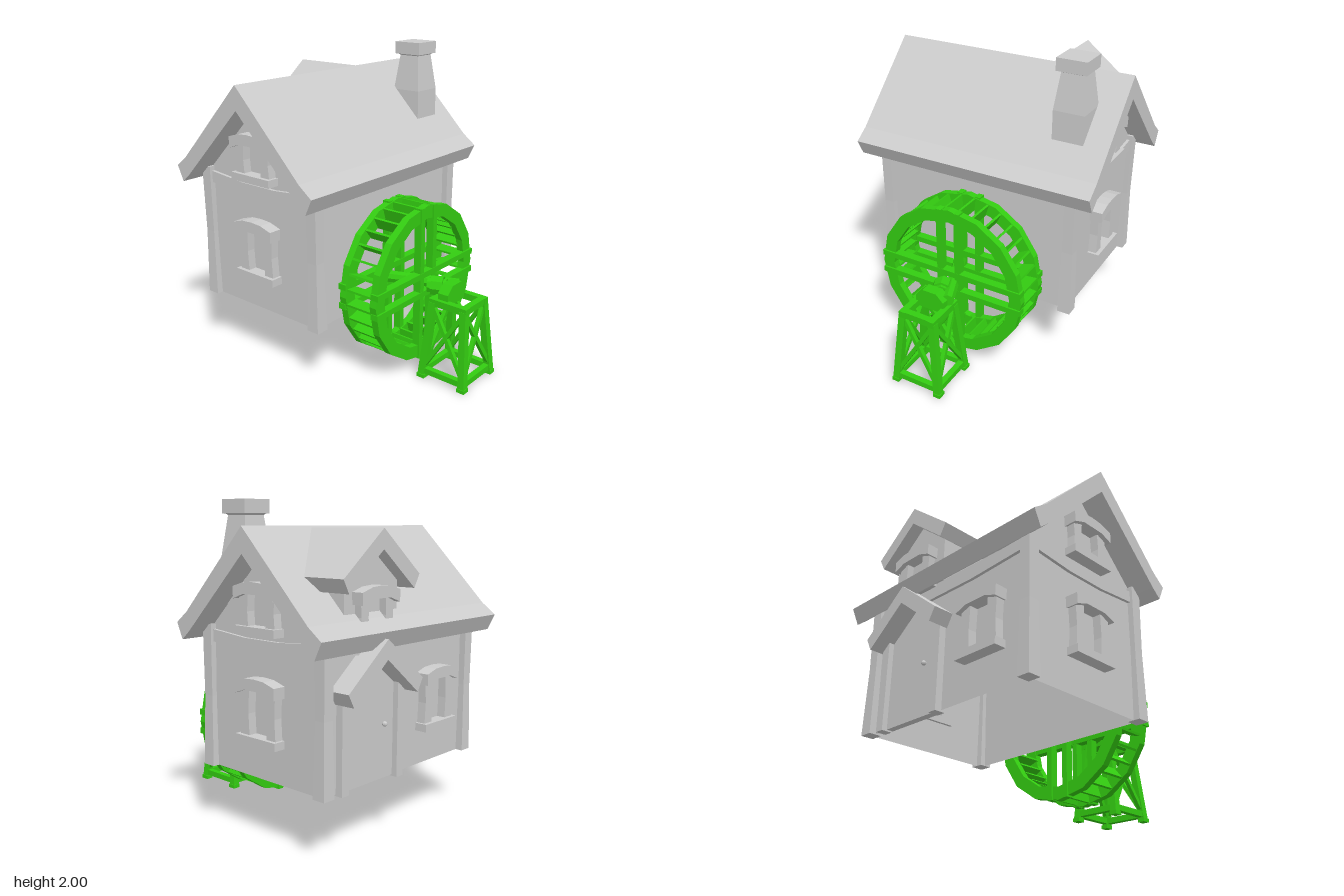
import * as THREE from 'three';

const grey = new THREE.MeshStandardMaterial({ color: 0xcccccc, flatShading: true, side: THREE.DoubleSide });
const green = new THREE.MeshStandardMaterial({ color: 0x33cc11, flatShading: true });

function add(parent, name, geo, mat, x = 0, y = 0, z = 0) {
  const m = new THREE.Mesh(geo, mat);
  m.name = name;
  m.position.set(x, y, z);
  parent.add(m);
  return m;
}
const box = (p, name, mat, w, h, d, x, y, z) => add(p, name, new THREE.BoxGeometry(w, h, d), mat, x, y, z);
const shape = pts => new THREE.Shape(pts.map(p => new THREE.Vector2(...p)));
// Extrusion of an outline from z0 to z1
const slab = (pts, z0, z1) =>
  new THREE.ExtrudeGeometry(shape(pts), { depth: z1 - z0, bevelEnabled: false }).translate(0, 0, z0);

// Square bar between two points
function bar(p, name, a, b, t, d = t) {
  const A = new THREE.Vector3(...a), B = new THREE.Vector3(...b);
  const m = box(p, name, green, t, A.distanceTo(B), d, 0, 0, 0);
  m.position.copy(A).add(B).multiplyScalar(0.5);
  m.quaternion.setFromUnitVectors(new THREE.Vector3(0, 1, 0), B.sub(A).normalize());
  return m;
}

// Mirrored roof section: right half given from outer ridge round to inner ridge
function roofOutline(half) {
  const mirrored = half.slice(1, -1).reverse().map(([x, y]) => [-x, y]);
  return [...half, ...mirrored];
}

// Window facing +z, origin at the middle of the sill's underside
function makeWindow(height) {
  const g = new THREE.Group();
  g.name = 'window';
  const a = height - 0.1;
  box(g, 'windowSill', grey, 0.325, 0.048, 0.1, 0, 0.024, 0.03);
  for (const s of [-1, 1]) {
    const jamb = slab([[s * 0.145, 0.04], [s * 0.07, 0.04], [s * 0.077, (a + 0.06) / 2],
      [s * 0.07, a + 0.04], [s * 0.145, a + 0.04], [s * 0.137, (a + 0.06) / 2]], -0.02, 0.055);
    add(g, 'windowJamb', jamb, grey);
  }
  add(g, 'windowArch', slab([[-0.162, a], [-0.08, a + 0.03], [0.08, a + 0.03], [0.162, a],
    [0.165, a + 0.07], [0.08, a + 0.095], [0, a + 0.1], [-0.08, a + 0.095], [-0.165, a + 0.07]], -0.02, 0.085), grey);
  return g;
}

function makeHouse() {
  const house = new THREE.Group();
  house.name = 'house';
  house.position.x = -0.31;
  const W = 0.455, D = 0.67, base = 0.39, top = 1.25;

  // Walls, open underneath
  for (const s of [-1, 1]) {
    add(house, 'gableWall', new THREE.ShapeGeometry(
      shape([[-W, base], [W, base], [W, top], [0, 1.7], [-W, top]])), grey, 0, 0, s * D).scale.z = s;
    add(house, 'sideWall', new THREE.PlaneGeometry(2 * D, top - base), grey, s * W, (top + base) / 2, 0)
      .rotation.y = s * Math.PI / 2;
  }

  // Corner posts, pinched in the middle
  for (const sx of [-1, 1]) for (const sz of [-1, 1]) {
    const geo = new THREE.CylinderGeometry(0.054, 0.06, 0.88, 4, 2).rotateY(Math.PI / 4);
    const p = geo.attributes.position;
    for (let i = 0; i < p.count; i++) if (Math.abs(p.getY(i)) < 0.01) {
      p.setX(i, p.getX(i) * 0.85);
      p.setZ(i, p.getZ(i) * 0.85);
    }
    add(house, 'cornerPost', geo, grey, sx * 0.46, base + 0.44, sz * 0.67);
  }

  // Sagging beams below the eaves
  const beam = w => slab([[-w, 1.165], [-w / 3, 1.14], [w / 3, 1.14], [w, 1.165],
    [w, 1.24], [w / 3, 1.215], [-w / 3, 1.215], [-w, 1.24]], -0.015, 0.02);
  for (const s of [-1, 1]) {
    add(house, 'gableBeam', beam(0.43), grey, 0, 0, s * D).rotation.y = s < 0 ? Math.PI : 0;
    add(house, 'sideBeam', beam(0.64), grey, s * W, 0, 0).rotation.y = s * Math.PI / 2;
  }

  // Main roof
  add(house, 'mainRoof', slab(roofOutline([[0, 1.85], [0.495, 1.35], [0.588, 1.28],
    [0.54, 1.18], [0.475, 1.235], [0, 1.7]]), -0.83, 0.83), grey);

  // Gable windows front and back
  for (const s of [-1, 1]) for (const [y, h] of [[0.61, 0.39], [1.245, 0.3]]) {
    const w = makeWindow(h);
    w.position.set(0, y, s * D);
    w.rotation.y = s < 0 ? Math.PI : 0;
    house.add(w);
  }

  // Chimney
  const chimney = new THREE.Group();
  chimney.name = 'chimney';
  chimney.position.set(0.25, 0, -0.57);
  house.add(chimney);
  const profile = [[0.102, 1.4], [0.102, 1.68], [0.073, 1.91], [0.09, 1.925]]
    .map(([r, y]) => new THREE.Vector2(r * Math.SQRT2, y));
  add(chimney, 'chimneyStack', new THREE.LatheGeometry(profile, 4).rotateY(Math.PI / 4), grey);
  box(chimney, 'chimneyCap', grey, 0.195, 0.08, 0.195, 0, 1.96, 0);

  // Side with door and dormer: local z points outward, local x runs along the wall
  const side = new THREE.Group();
  side.name = 'doorSide';
  side.rotation.y = -Math.PI / 2;
  house.add(side);
  const sideWindow = makeWindow(0.39);
  sideWindow.position.set(0.33, 0.61, W);
  side.add(sideWindow);

  const bay = new THREE.Group();
  bay.name = 'doorBay';
  bay.position.x = -0.29;
  side.add(bay);
  const smallRoof = y => roofOutline([[0, y + 0.34], [0.33, y + 0.08], [0.285, y], [0, y + 0.225]]);
  add(bay, 'porchRoof', slab(smallRoof(0.9), 0.43, 0.59), grey);
  add(bay, 'door', slab([[-0.22, base], [0.22, base], [0.22, 0.95], [0, 1.12], [-0.22, 0.95]], 0.42, 0.465), grey);
  for (const s of [-1, 1]) box(bay, 'doorPost', grey, 0.06, 0.6, 0.07, s * 0.245, 0.68, 0.465);
  add(bay, 'doorKnob', new THREE.SphereGeometry(0.016, 8, 6), grey, 0.12, 0.72, 0.48);

  // Dormer
  add(bay, 'dormerRoof', slab(smallRoof(1.5), 0, 0.548), grey);
  add(bay, 'dormerWall', slab([[-0.23, 1.25], [0.23, 1.25], [0.23, 1.56], [0, 1.74], [-0.23, 1.56]], 0.1, 0.465), grey);
  const dormerWindow = makeWindow(0.3);
  dormerWindow.position.set(0, 1.23, 0.455);
  bay.add(dormerWindow);
  return house;
}

function makeWheel() {
  const wheel = new THREE.Group();
  wheel.name = 'waterWheel';
  wheel.position.set(0, 0.57, 0);
  const ringPts = r => Array.from({ length: 16 }, (_, i) =>
    new THREE.Vector2(r * Math.cos(i * Math.PI / 8), r * Math.sin(i * Math.PI / 8)));
  const outline = new THREE.Shape(ringPts(0.515));
  outline.holes.push(new THREE.Path(ringPts(0.432).reverse()));
  const ring = new THREE.ExtrudeGeometry(outline, { depth: 0.048, bevelEnabled: false }).rotateY(Math.PI / 2);

  // Two rims, each with crossed pairs of spokes
  for (const [x, spokeX] of [[0.195, 0.21], [0.43, 0.462]]) {
    add(wheel, 'wheelRim', ring, green, x);
    for (const s of [-1, 1]) {
      box(wheel, 'wheelSpoke', green, 0.055, 0.038, 1.02, spokeX, s * 0.064, 0);
      box(wheel, 'wheelSpoke', green, 0.052, 1.02, 0.038, spokeX, 0, s * 0.064);
    }
  }
  // Paddles
  for (let i = 0; i < 32; i++) {
    const a = (i + 0.5) * Math.PI / 16;
    box(wheel, 'paddle', green, 0.2, 0.085, 0.014, 0.337, 0.462 * Math.cos(a), 0.462 * Math.sin(a)).rotation.x = a;
  }
  // Axle and collars
  const axle = (name, r, x0, x1) => add(wheel, name,
    new THREE.CylinderGeometry(r, r, x1 - x0, 8).rotateX(Math.PI / 8).rotateZ(Math.PI / 2), green, (x0 + x1) / 2);
  axle('axle', 0.04, 0.15, 0.68);
  axle('axleCollar', 0.05, 0.5, 0.62);
  axle('axleCollar', 0.065, 0.525, 0.6);
  return wheel;
}

function makeTower() {
  const tower = new THREE.Group();
  tower.name = 'wheelStand';
  tower.position.x = 0.72;
  // Leg centre at height y
  const corner = (sx, sz, y) => {
    const t = y / 0.52;
    return [sx * (0.152 - 0.04 * t), y, sz * (0.155 - 0.05 * t)];
  };
  const corners = [[1, 1], [1, -1], [-1, -1], [-1, 1]];
  corners.forEach((c, i) => {
    const n = corners[(i + 1) % 4];
    bar(tower, 'standLeg', corner(...c, 0.01), corner(...c, 0.51), 0.045);
    box(tower, 'standFoot', green, 0.055, 0.024, 0.05, c[0] * 0.15, 0.012, c[1] * 0.155);
    bar(tower, 'bottomRail', corner(...c, 0.05), corner(...n, 0.05), 0.038);
    bar(tower, 'crossBrace', corner(...c, 0.07), corner(...n, 0.49), 0.026);
    bar(tower, 'crossBrace', corner(...n, 0.07), corner(...c, 0.49), 0.026);
  });
  for (const s of [-1, 1]) {
    box(tower, 'topBeam', green, 0.275, 0.043, 0.043, 0, 0.513, s * 0.104);
    box(tower, 'topBeam', green, 0.043, 0.043, 0.21, s * 0.112, 0.513, 0);
  }
  // Bearing block with a faceted top
  const block = slab([[-0.1, 0.5], [0.1, 0.5], [0.1, 0.575], [0.05, 0.625], [-0.05, 0.625], [-0.1, 0.575]], -0.085, -0.012);
  add(tower, 'bearingBlock', block.rotateY(Math.PI / 2), green);
  return tower;
}

export function createModel() {
  const model = new THREE.Group();
  model.name = 'watermill';
  model.add(makeHouse(), makeWheel(), makeTower());
  return model;
}
